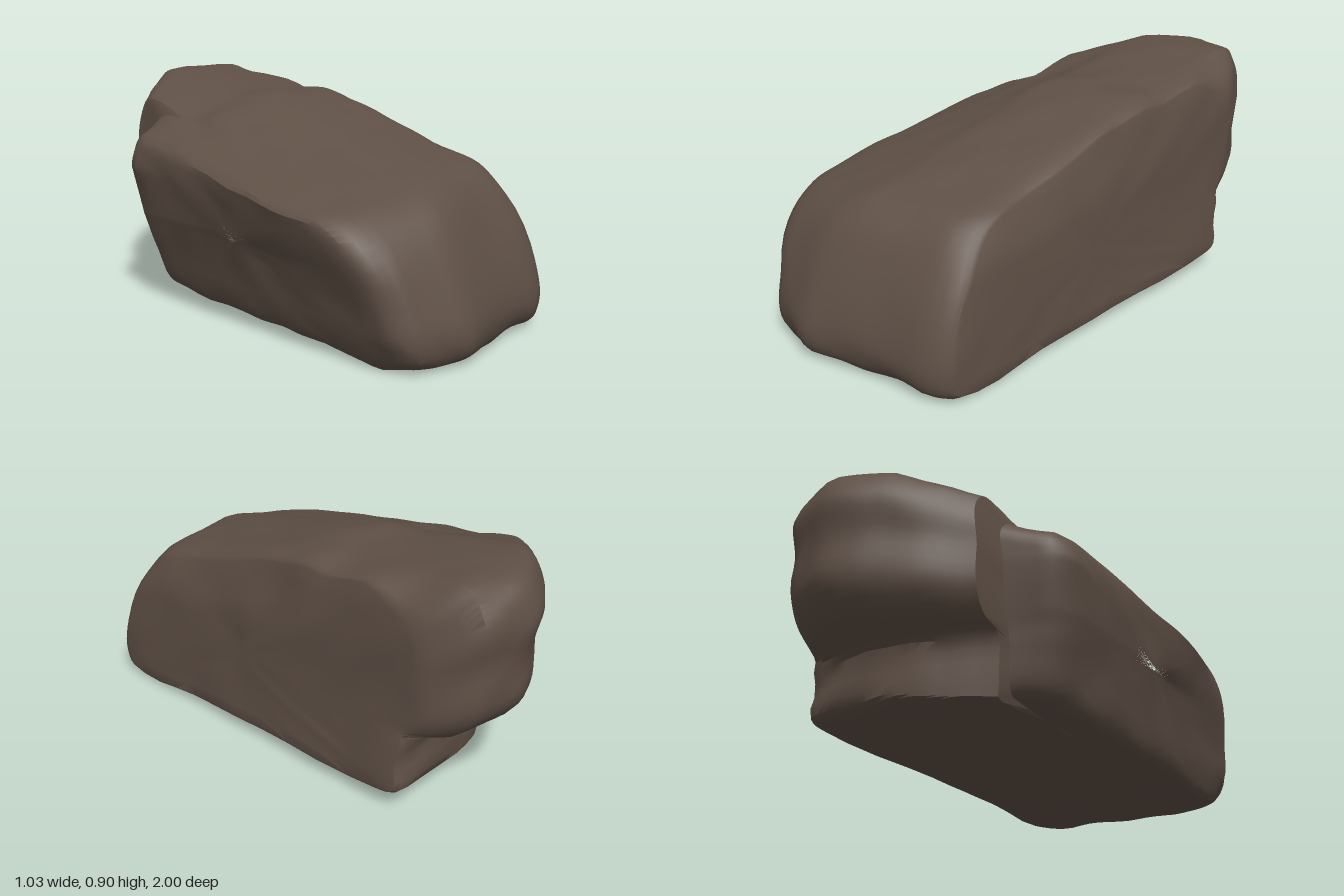
import * as THREE from 'three';
import { toCreasedNormals } from 'three/addons/utils/BufferGeometryUtils.js';

const { clamp, lerp, smoothstep } = THREE.MathUtils;

// Piecewise-linear lookup through [input, output] pairs
function ramp(pairs, v) {
  if (v <= pairs[0][0]) return pairs[0][1];
  for (let i = 1; i < pairs.length; i++) {
    const [a, p] = pairs[i - 1], [b, q] = pairs[i];
    if (v <= b) return p + (q - p) * (v - a) / (b - a);
  }
  return pairs[pairs.length - 1][1];
}

// Closed side profile (z, y), smoothed, from the front foot over the top to the underside
const SUB = 4;
function profile(points) {
  const curve = new THREE.CatmullRomCurve3(
    points.map(([z, y]) => new THREE.Vector3(0, y, z)), true, 'centripetal');
  const n = points.length * SUB;
  return Array.from({ length: n }, (_, i) => curve.getPoint(i / n));
}

// Front half shared by both profiles
const front = [[0.96, 0], [1, 0.08], [0.97, 0.22], [0.86, 0.47], [0.76, 0.57],
  [0.6, 0.62], [0.3, 0.69], [0, 0.77]];
const underside = [[0, 0.025], [0.5, 0.01]];

// Main slab with its overhanging back end
const mainProfile = profile([...front,
  [-0.2, 0.815], [-0.35, 0.815], [-0.7, 0.865], [-0.91, 0.875],
  [-0.97, 0.82], [-1, 0.73], [-0.975, 0.6], [-0.965, 0.42], [-0.87, 0.31], [-0.71, 0.25],
  [-0.69, 0.07], [-0.6, 0.04], ...underside]);

// Shorter shoulder on the right-hand side
const shoulderProfile = profile([...front,
  [-0.15, 0.8], [-0.3, 0.815], [-0.45, 0.825], [-0.52, 0.81],
  [-0.55, 0.75], [-0.55, 0.65], [-0.54, 0.53], [-0.52, 0.4], [-0.5, 0.3], [-0.48, 0.2],
  [-0.45, 0.07], [-0.4, 0.05], ...underside]);

const STEP = -0.262;
const frontEnd = [[-0.46, 0.91], [-0.38, 0.95], [-0.2, 0.98], [-0.1, 1], [0, 0.98],
  [0.2, 0.93], [0.4, 0.9], [0.5, 0.86]];
const backEnd = [[-0.25, 0.69], [-0.1, 0.83], [0.1, 0.96], [0.2, 1], [0.39, 0.96],
  [0.45, 0.88], [0.5, 0.78]];
const footEnd = [[-0.25, 0.51], [0, 0.64], [0.2, 0.7], [0.5, 0.71]];
const topDrop = [[-0.48, 0.18], [-0.25, 0.1], [-0.1, 0.055], [0, 0.015], [0.15, 0],
  [0.42, 0.01], [0.5, 0.03]];
const rightFlank = [[0, -0.34], [0.1, -0.38], [0.2, -0.4], [0.35, -0.445],
  [0.54, -0.48], [0.65, -0.46], [0.75, -0.42]];
const leftFlank = [[0, 0.525], [0.2, 0.515], [0.4, 0.505], [0.8, 0.5], [0.88, 0.48]];

// Place one profile point at station x, shrunk about the core by scale
function place(x, scale, j) {
  const shoulder = x < STEP;
  const p = (shoulder ? shoulderProfile : mainProfile)[j];
  const cz = shoulder ? 0.18 : 0.1, cy = 0.33;
  let z = p.z, y = p.y;
  const high = clamp((y - 0.3) / 0.5, 0, 1);

  // Back outline: overhanging slab above, foot below
  if (shoulder) {
    if (z < 0) z += (STEP - x) * 0.5 * Math.min(1, -z / 0.4);
  } else if (z < -0.3) {
    const upper = -0.3 + (z + 0.3) * (ramp(backEnd, x) - 0.3) / 0.7;
    const foot = -0.3 + (z + 0.3) * (ramp(footEnd, x) - 0.3) / 0.4;
    z = lerp(foot, upper, smoothstep(p.y, 0.12, 0.3));
    if (p.y < 0.45) z = Math.min(z, Math.max(p.z, -ramp(footEnd, x)));
  }
  // Top falls to the right and at the back left corner
  const corner = 0.9 * Math.max(0, x - 0.4) * smoothstep(-z, 0.5, 0.75);
  y -= (ramp(topDrop, x) + corner) * high;
  z -= (1 - ramp(frontEnd, x)) * clamp(z / 0.8, 0, 1);
  z = cz + (z - cz) * scale;
  y = cy + (y - cy) * scale;

  // Lean the flanks
  let px = x;
  if (x < 0) {
    const w = (x / 0.48) ** 2;
    const bulge = 0.035 * Math.exp(-(((z - 0.42) / 0.25) ** 2)) * high;
    px += (ramp(rightFlank, y) + 0.48 - bulge) * w;
  } else {
    const top = 0.74 - 0.16 * z;
    const lean = 0.07 * clamp((z + 0.8) / 1.5, 0, 1) * smoothstep(y, top - 0.25, top);
    px += (ramp(leftFlank, y) - 0.5 - lean) * (x / 0.5) ** 2;
  }

  // Gentle weathering
  const n1 = Math.sin(7 * px + 9 * z + 1) * Math.sin(11 * y - 5 * z);
  const n2 = Math.sin(23 * z + 13 * y) * Math.sin(19 * px + 17 * y + 2);
  return [px + 0.005 * n1 + 0.003 * n2, y + 0.005 * n2, z + 0.005 * n1 - 0.004 * n2];
}

function rockGeometry() {
  // Stations [x, scale]: a closed flank, the body, the other closed flank
  const stations = [[-0.48, 0], [-0.48, 0.2], [-0.48, 0.4], [-0.48, 0.6], [-0.48, 0.8],
    [-0.48, 0.91], [-0.468, 0.965], [-0.43, 1], [-0.38, 1], [-0.33, 1], [-0.29, 1], [-0.268, 1]];
  for (let i = 0; i <= 16; i++) stations.push([-0.255 + i * 0.0435, 1]);
  stations.push([0.48, 0.992], [0.496, 0.975], [0.5, 0.95], [0.5, 0.8], [0.5, 0.6],
    [0.5, 0.4], [0.5, 0.2], [0.5, 0]);

  const n = mainProfile.length, position = [], index = [];
  stations.forEach(([x, scale], i) => {
    for (let j = 0; j < n; j++) {
      position.push(...place(x, scale, j));
      if (i === stations.length - 1) continue;
      const k = (j + 1) % n;
      const a = i * n + j, b = i * n + k, c = b + n, d = a + n;
      if (i < stations.length - 2) index.push(a, d, c);
      else index.push(a, d, b);
      if (i > 0 && i < stations.length - 2) index.push(a, c, b);
    }
  });
  const geometry = new THREE.BufferGeometry();
  geometry.setAttribute('position', new THREE.Float32BufferAttribute(position, 3));
  geometry.setIndex(index);

  // Stand on the ground, centred
  geometry.computeBoundingBox();
  const box = geometry.boundingBox, mid = box.getCenter(new THREE.Vector3());
  geometry.translate(-mid.x, -box.min.y, -mid.z);
  return toCreasedNormals(geometry, 0.6);
}

export function createModel() {
  const group = new THREE.Group();
  group.name = 'rock';
  const stone = new THREE.MeshStandardMaterial({ color: 0x5f5046 });
  stone.name = 'brown stone';
  const boulder = new THREE.Mesh(rockGeometry(), stone);
  boulder.name = 'boulder';
  group.add(boulder);
  return group;
}
